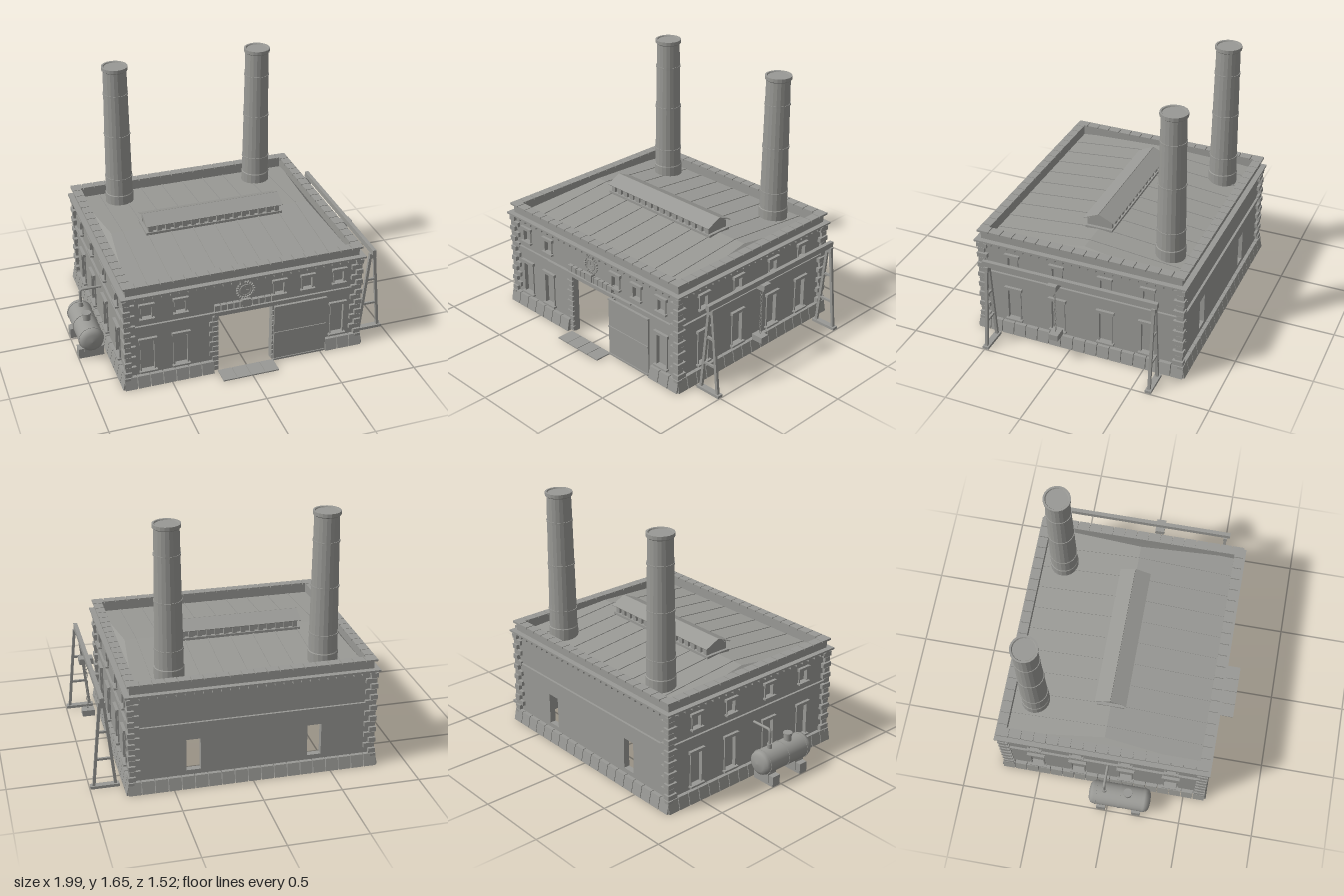
import * as THREE from 'three';
import { mergeGeometries } from 'three/addons/utils/BufferGeometryUtils.js';

const stone = new THREE.MeshStandardMaterial({ color: 0x999995, side: THREE.DoubleSide });
stone.name = 'stone grey';

const W = 0.765, D = 0.67, T = 0.04; // half width, half depth, wall thickness

function add(parent, name, geometry, x = 0, y = 0, z = 0) {
  const mesh = new THREE.Mesh(geometry, stone);
  mesh.name = name;
  mesh.position.set(x, y, z);
  parent.add(mesh);
  return mesh;
}

// Box given by size and centre
const box = (w, h, d, x = 0, y = 0, z = 0) => new THREE.BoxGeometry(w, h, d).translate(x, y, z);

// Square bar between two points
function strut(a, b, w) {
  const p = new THREE.Vector3(...a), q = new THREE.Vector3(...b);
  const dir = q.clone().sub(p);
  const g = new THREE.BoxGeometry(w, dir.length(), w);
  g.applyQuaternion(new THREE.Quaternion().setFromUnitVectors(new THREE.Vector3(0, 1, 0), dir.normalize()));
  const m = p.add(q).multiplyScalar(0.5);
  return g.translate(m.x, m.y, m.z);
}

// Even centres along a run of half length h
function run(h, pitch) {
  const n = Math.round(2 * h / pitch), step = 2 * h / n;
  return Array.from({ length: n }, (_, i) => ({ x: -h + (i + 0.5) * step, step }));
}

function wallGeometry(half, holes, door) {
  const s = new THREE.Shape();
  s.moveTo(-half, 0);
  if (door) {
    s.lineTo(door[0], 0); s.lineTo(door[0], door[2]);
    s.lineTo(door[1], door[2]); s.lineTo(door[1], 0);
  }
  s.lineTo(half, 0); s.lineTo(half, 0.72); s.lineTo(-half, 0.72); s.closePath();
  for (const [x, y0, y1, w] of holes) {
    const p = new THREE.Path();
    p.moveTo(x - w / 2, y0); p.lineTo(x - w / 2, y1);
    p.lineTo(x + w / 2, y1); p.lineTo(x + w / 2, y0); p.closePath();
    s.holes.push(p);
  }
  return new THREE.ExtrudeGeometry(s, { depth: T, bevelEnabled: false }).translate(0, 0, -T);
}

// Sloping plinth stone, running along x
function plinthStone(len, x) {
  const s = new THREE.Shape([[-0.01, 0], [0.04, 0], [0.024, 0.08], [-0.01, 0.08]].map(p => new THREE.Vector2(...p)));
  return new THREE.ExtrudeGeometry(s, { depth: len, bevelEnabled: false })
    .rotateY(-Math.PI / 2).translate(x + len / 2, 0, 0);
}

// One side of the building: x runs along the wall, z points outward, wall face at z = 0
function makeSide(parent, { name, half, inset, angle, x, z, upper, lower, open = [], door, gap }) {
  const side = new THREE.Group();
  side.name = name;
  side.position.set(x, 0, z);
  side.rotation.y = angle;
  parent.add(side);

  const windows = [...upper.map(c => [c, 0.49, 0.58, 0.07]), ...lower.map(c => [c, 0.105, 0.33, 0.09])];
  add(side, 'wall', wallGeometry(half - inset, [...windows, ...open.map(c => [c, 0.11, 0.32, 0.09])], door));

  // Panes, sills and lintels
  const panes = [], trim = [];
  for (const [c, y0, y1, w] of windows) {
    panes.push(box(w, y1 - y0, 0.006, c, (y0 + y1) / 2, -0.025));
    trim.push(box(w + 0.03, 0.02, 0.026, c, y1 + 0.007, 0.007), box(w + 0.025, 0.012, 0.032, c, y0 - 0.002, 0.008));
    for (const s of [-1, 1]) trim.push(box(0.008, y1 - y0, 0.015, c + s * w / 2, (y0 + y1) / 2, 0.001));
  }
  if (panes.length) {
    add(side, 'windowPanes', mergeGeometries(panes));
    add(side, 'windowTrim', mergeGeometries(trim));
  }

  // String course, cornice with dentils, coping
  add(side, 'stringCourse', box(2 * half + 0.03, 0.014, 0.022, 0, 0.433, 0.004));
  add(side, 'cornice', box(2 * half + 0.07, 0.012, 0.045, 0, 0.659, 0.0125));
  add(side, 'dentils', mergeGeometries(run(half + 0.015, 0.055).map(r => box(0.026, 0.022, 0.03, r.x, 0.642, 0.01))));
  add(side, 'coping', mergeGeometries(run(half + 0.018, 0.08).map(r => box(r.step - 0.005, 0.013, T + 0.02, r.x, 0.7245, -0.012))));

  // Plinth, broken at the doorway
  add(side, 'plinth', mergeGeometries(run(half + 0.03, 0.083)
    .filter(r => !gap || r.x < gap[0] || r.x > gap[1]).map(r => plinthStone(r.step - 0.005, r.x))));
  return side;
}

function makeRoof(parent) {
  const e = 0.66, h = 0.72, X = W - T + 0.01, Z = D - T + 0.01, R = X - 0.06;
  const a = [-X, e, Z], b = [X, e, Z], c = [X, e, -Z], d = [-X, e, -Z], l = [-R, h, 0], r = [R, h, 0];
  const tris = [a, b, r, a, r, l, c, d, l, c, l, r, b, c, r, d, a, l];
  const g = new THREE.BufferGeometry();
  g.setAttribute('position', new THREE.Float32BufferAttribute(tris.flat(), 3));
  g.computeVertexNormals();
  add(parent, 'roof', g);
  // Standing seams
  const seams = [];
  for (let i = -4; i <= 4; i++) for (const s of [-1, 1])
    seams.push(strut([i * 0.149, e + 0.001, s * Z], [i * 0.149, h + 0.001, 0], 0.007));
  add(parent, 'roofSeams', mergeGeometries(seams));

  // Ridge ventilator
  const vent = new THREE.Group();
  vent.name = 'ridgeVentilator';
  parent.add(vent);
  add(vent, 'ventCore', box(0.89, 0.08, 0.13, 0, 0.74, 0));
  const slats = run(0.46, 0.0575).flatMap(q => [-1, 1].map(s => box(0.03, 0.075, 0.02, q.x, 0.74, s * 0.072)));
  add(vent, 'ventSlats', mergeGeometries(slats));
  add(vent, 'ventCurb', box(0.93, 0.03, 0.18, 0, 0.713, 0));
  const tilt = Math.atan2(0.045, 0.1);
  for (const s of [-1, 1])
    add(vent, 'ventRoof', box(0.93, 0.004, 0.11), 0, 0.8005, s * 0.051).rotation.x = s * tilt;
  const gable = new THREE.Shape([new THREE.Vector2(-0.08, 0.78), new THREE.Vector2(0.08, 0.78), new THREE.Vector2(0, 0.818)]);
  for (const s of [-1, 1]) add(vent, 'ventGable', new THREE.ShapeGeometry(gable).rotateY(Math.PI / 2), s * 0.445);
}

function makeChimney(parent, x) {
  const p = [[0.094, 0.66], [0.094, 0.745], [0.09, 0.75]];
  for (const y of [0.86, 1.17, 1.46]) { // thin joint rings
    const r = 0.09 - (y - 0.75) * 0.0148;
    p.push([r, y], [r + 0.004, y], [r + 0.004, y + 0.012], [r, y + 0.012]);
  }
  p.push([0.077, 1.625], [0.086, 1.632], [0.086, 1.655], [0.074, 1.655], [0.07, 1.648], [0, 1.648]);
  const g = new THREE.LatheGeometry(p.map(q => new THREE.Vector2(...q)), 20).toNonIndexed();
  g.computeVertexNormals();
  add(parent, 'chimney', g, x, 0, -0.49);
}

function makeBoiler(root) {
  const g = new THREE.Group();
  g.name = 'boiler';
  g.position.x = -0.915;
  root.add(g);
  const profile = [[0, -0.21], [0.05, -0.205], [0.074, -0.19], [0.08, -0.17], [0.08, 0.17], [0.074, 0.19], [0.05, 0.205], [0, 0.21]];
  add(g, 'tank', new THREE.LatheGeometry(profile.map(q => new THREE.Vector2(...q)), 24).rotateX(Math.PI / 2), 0, 0.15, 0.08);
  for (const z of [-0.08, 0.08, 0.24])
    add(g, 'tankBand', new THREE.CylinderGeometry(0.083, 0.083, 0.012, 24).rotateX(Math.PI / 2), 0, 0.15, z);
  for (const z of [-0.04, 0.2]) {
    add(g, 'footing', box(0.165, 0.07, 0.06, 0, 0.035, z));
    add(g, 'cradle', box(0.09, 0.1, 0.07, 0, 0.065, z));
  }
  add(g, 'steamDome', new THREE.CylinderGeometry(0.025, 0.025, 0.06, 16), 0, 0.245, 0.135);
  add(g, 'domeCap', new THREE.CylinderGeometry(0.03, 0.03, 0.01, 16), 0, 0.275, 0.135);
  add(g, 'pipeCollar', new THREE.CylinderGeometry(0.016, 0.016, 0.04, 12), 0, 0.24, -0.025);
  const path = new THREE.CurvePath();
  const v = (x, y) => new THREE.Vector3(x, y, -0.025);
  path.add(new THREE.LineCurve3(v(0, 0.2), v(0, 0.335)));
  path.add(new THREE.QuadraticBezierCurve3(v(0, 0.335), v(0, 0.355), v(0.02, 0.355)));
  path.add(new THREE.LineCurve3(v(0.02, 0.355), v(0.15, 0.355)));
  add(g, 'steamPipe', new THREE.TubeGeometry(path, 40, 0.009, 10));
}

function makeGantry(root) {
  const g = new THREE.Group();
  g.name = 'gantry';
  g.position.x = 0.906;
  root.add(g);
  for (const z of [0.495, -0.608]) {
    add(g, 'frame', mergeGeometries([
      box(0.18, 0.018, 0.04, 0, 0.009, z),
      strut([-0.068, 0.01, z], [-0.012, 0.58, z], 0.018), strut([0.068, 0.01, z], [0.012, 0.58, z], 0.018),
      box(0.1, 0.014, 0.014, 0, 0.195, z), box(0.055, 0.014, 0.014, 0, 0.38, z), box(0.046, 0.035, 0.024, 0, 0.563, z)]));
  }
  add(g, 'beam', box(0.026, 0.036, 1.156, 0, 0.597, -0.052));
  add(g, 'trolley', box(0.09, 0.038, 0.062, 0, 0.562, 0.042));
  // Chain of alternating links
  const links = [];
  for (let i = 0; i < 12; i++)
    links.push(new THREE.TorusGeometry(0.007, 0.002, 5, 8).scale(1, 2.2, 1).rotateY(i % 2 * Math.PI / 2).translate(0, 0.23 + i * 0.0275, 0.042));
  add(g, 'chain', mergeGeometries(links));
  add(g, 'hookBlock', box(0.08, 0.04, 0.062, 0, 0.19, 0.042));
}

export function createModel() {
  const root = new THREE.Group();
  root.name = 'factory';
  const hall = new THREE.Group();
  hall.name = 'hall';
  hall.position.set(-0.01, 0, -0.055);
  root.add(hall);

  const flank = [-0.455, -0.15, 0.175, 0.455];
  const front = makeSide(hall, { name: 'frontSide', half: W, inset: 0, angle: 0, x: 0, z: D,
    upper: [-0.635, -0.42, 0.225, 0.415, 0.63], lower: [-0.635, -0.42, 0.63], door: [-0.18, 0.18, 0.415], gap: [-0.22, 0.56] });
  makeSide(hall, { name: 'backSide', half: W, inset: 0, angle: Math.PI, x: 0, z: -D, upper: [], lower: [], open: [-0.38, 0.39] });
  makeSide(hall, { name: 'leftSide', half: D, inset: T, angle: Math.PI / 2, x: W, z: 0, upper: flank, lower: flank });
  const mirrored = flank.map(v => -v);
  makeSide(hall, { name: 'rightSide', half: D, inset: T, angle: -Math.PI / 2, x: -W, z: 0, upper: mirrored, lower: mirrored });

  // Corner quoins, alternating long and short
  for (const sx of [-1, 1]) for (const sz of [-1, 1]) {
    const list = [];
    for (let i = 0; i < 15; i++) {
      const a = i % 2 ? 0.07 : 0.045, b = i % 2 ? 0.045 : 0.07, o = i % 2 ? 0.018 : 0.024;
      list.push(box(a, 0.031, b, sx * (W + o - a / 2), 0.1 + i * 0.0375, sz * (D + o - b / 2)));
    }
    add(hall, 'quoins', mergeGeometries(list));
  }

  // Doorway: jamb stones, arch stones, sliding door, rail, threshold
  const jambs = [];
  for (let i = 0; i < 11; i++) for (const s of [-1, 1]) {
    const w = i % 2 ? 0.055 : 0.035;
    jambs.push(box(w, 0.03, 0.02, s * (0.18 + w / 2), 0.02 + i * 0.0375, 0.004));
  }
  add(front, 'doorJambs', mergeGeometries(jambs));
  add(front, 'doorLintel', mergeGeometries(run(0.207, 0.0415).map(r => box(r.step - 0.006, 0.045, 0.03, r.x, 0.473, 0.01))));
  add(front, 'lintelBase', box(0.414, 0.03, 0.024, 0, 0.43, 0.008));
  add(front, 'keystone', box(0.055, 0.07, 0.04, 0, 0.473, 0.012));
  add(front, 'slidingDoor', box(0.355, 0.412, 0.012, 0.364, 0.208, 0.026));
  add(front, 'doorBattens', mergeGeometries([0.01, 0.21, 0.405].map(y => box(0.355, 0.01, 0.008, 0.364, y + 0.004, 0.034))));
  add(front, 'doorRail', box(0.78, 0.01, 0.014, 0, 0.452, 0.033));
  add(front, 'threshold', mergeGeometries(run(0.187, 0.094).map(r => box(r.step - 0.003, 0.008, 0.115, r.x, 0.005, 0.082))));

  // Round clock
  const ticks = [new THREE.TorusGeometry(0.036, 0.004, 6, 24), new THREE.CircleGeometry(0.034, 24).translate(0, 0, 0.001)];
  for (let i = 0; i < 20; i++) ticks.push(box(0.01, 0.013, 0.016, 0, 0.055, 0).rotateZ(i * Math.PI / 10));
  ticks.push(box(0.004, 0.026, 0.006, 0, 0.013, 0.003), box(0.02, 0.004, 0.006, 0.01, 0, 0.003));
  add(front, 'clock', mergeGeometries(ticks), 0, 0.565, 0.006);

  makeRoof(hall);
  for (const x of [-0.488, 0.487]) makeChimney(hall, x);
  makeBoiler(root);
  makeGantry(root);
  return root;
}
